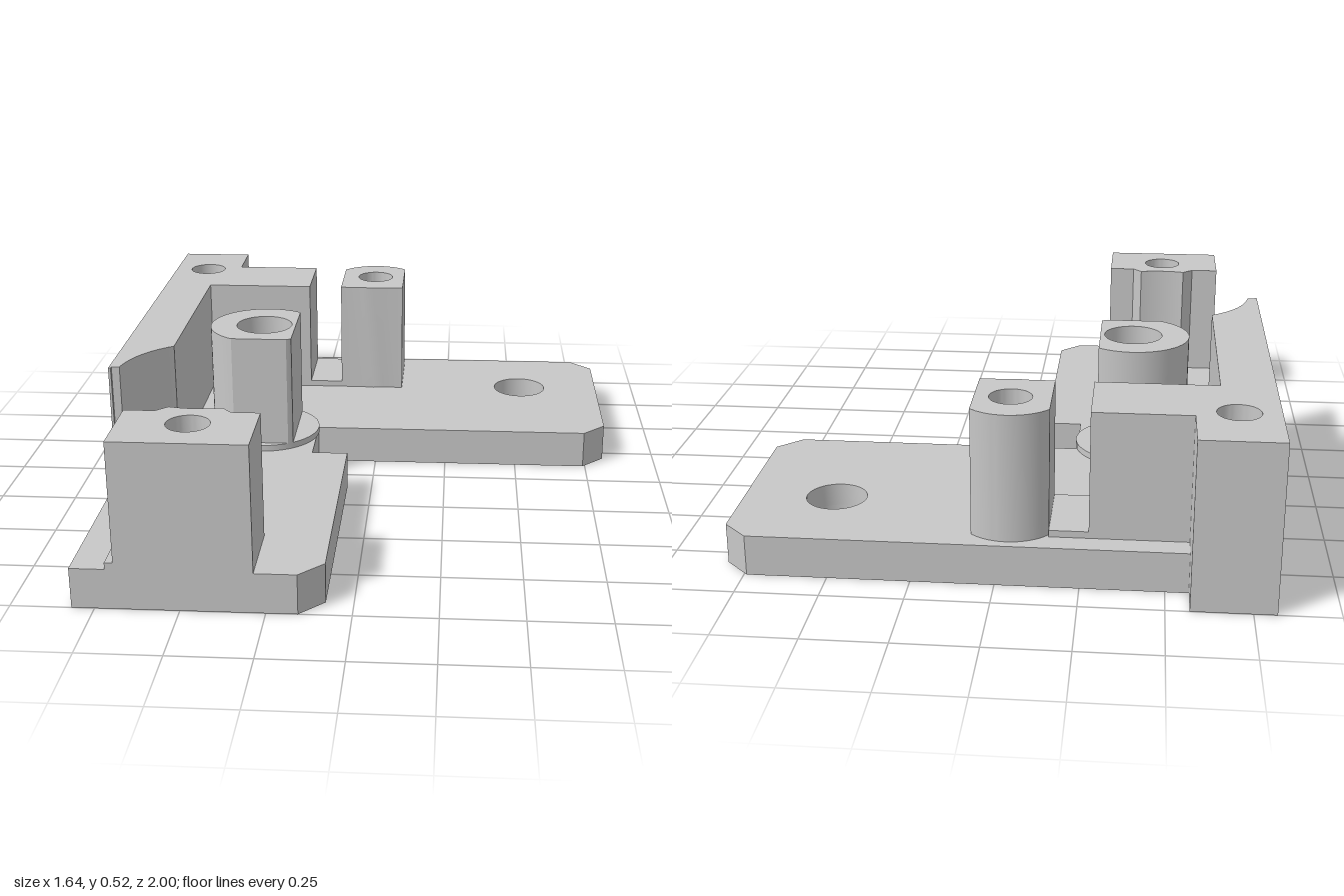
import * as THREE from 'three';
import { toCreasedNormals } from 'three/addons/utils/BufferGeometryUtils.js';

const BIG = 0.095, SMALL = 0.065, BORE = 0.1;
const BORE_TOP = 0.055, PLATE_TOP = 0.127, LEDGE_TOP = 0.148, POST_TOP = 0.524;
// Through holes as [x, z]
const bigHoles = [[0.527, -0.585], [-0.382, -0.08], [-0.48, 0.425]];
const screwHoles = [[-0.695, -0.778], [-0.033, -0.705], [-0.48, 0.85]];

// Points of an arc in plan, angles measured from +x towards +z
function arc(cx, cz, r, a0, a1, n = 20) {
  return Array.from({ length: n + 1 }, (_, i) => {
    const a = a0 + (a1 - a0) * i / n;
    return [cx + r * Math.cos(a), cz + r * Math.sin(a)];
  });
}

// Vertical prism over a plan outline of [x, z], with round holes [x, z, r]
function prism(points, y0, y1, holes = []) {
  const outline = points.map(([x, z]) => new THREE.Vector2(x, -z));
  const shape = new THREE.Shape(outline);
  // Holes wind against the outline so that their walls face inwards
  const clockwise = !THREE.ShapeUtils.isClockWise(outline);
  for (const [x, z, r] of holes) {
    shape.holes.push(new THREE.Path().absarc(x, -z, r, 0, Math.PI * 2, clockwise));
  }
  const geometry = new THREE.ExtrudeGeometry(shape, { depth: y1 - y0, bevelEnabled: false, curveSegments: 24 });
  geometry.rotateX(-Math.PI / 2).translate(0, y0, 0);
  return toCreasedNormals(geometry, Math.PI / 7);
}

const rect = (x0, x1, z0, z1) => [[x0, z0], [x0, z1], [x1, z1], [x1, z0]];
const sized = (list, r) => list.map(([x, z]) => [x, z, r]);

export function createModel() {
  const group = new THREE.Group();
  const grey = new THREE.MeshStandardMaterial({ color: 0xc8c8c8 });
  grey.name = 'grey';
  const add = (name, geometry) => {
    const mesh = new THREE.Mesh(geometry, grey);
    mesh.name = name;
    group.add(mesh);
  };

  // Base plate in two layers, so the screw holes are counterbored from below
  const plate = [
    [-0.818, -1], [-0.57, -1], [-0.57, -0.89], [0.742, -0.89], [0.818, -0.815],
    [0.818, -0.2], [0.742, -0.125], [-0.203, -0.125], [-0.203, 0.105],
    [-0.083, 0.105], [-0.083, 0.925], [-0.157, 1], [-0.818, 1],
  ];
  const big = sized(bigHoles, BIG);
  add('basePlateLower', prism(plate, 0, BORE_TOP, [...big, ...sized(screwHoles, BORE)]));
  add('basePlateUpper', prism(plate, BORE_TOP, PLATE_TOP, [...big, ...sized(screwHoles, SMALL)]));

  // Side wall with its inner arm, hollowed around the round clearance at its end
  const [cx, cz] = bigHoles[2];
  const clearance = arc(cx, cz, 0.307, Math.atan2(0.17 - cz, -0.65 - cx), Math.atan2(0.385 - cz, -0.785 - cx));
  add('sideWall', prism([
    [-0.818, -1], [-0.57, -1], [-0.57, -0.815], [-0.273, -0.815], [-0.273, -0.555],
    [-0.65, -0.555], ...clearance, [-0.81, 0.385], [-0.81, 0.396], [-0.818, 0.396],
  ], PLATE_TOP, POST_TOP, sized([screwHoles[0]], SMALL)));
  add('sideWallLedge', prism(rect(-0.818, -0.787, 0.385, 0.398), PLATE_TOP, LEDGE_TOP));

  // Low web joining the arm to the back post
  add('web', prism(rect(-0.273, -0.155, -0.815, -0.555), PLATE_TOP, LEDGE_TOP));

  // Back post with a rounded rear
  const [bx, bz] = screwHoles[1];
  const r = 0.155;
  add('backPost', prism([
    [-0.155, -0.555], [-0.075, -0.555], [bx, -0.55], [0.005, -0.555], [0.076, -0.555],
    ...arc(bx, bz, r, -Math.acos(0.109 / r), -Math.PI + Math.acos(0.122 / r)),
  ], PLATE_TOP, POST_TOP, [[bx, bz, SMALL]]));

  // Round boss: a full disc below, trimmed flat on two sides above
  const [ox, oz] = bigHoles[1];
  const R = 0.185;
  const hole = [[ox, oz, BIG]];
  add('bossFoot', prism(arc(ox, oz, R, 0, Math.PI * 2, 48).slice(0, -1), PLATE_TOP, LEDGE_TOP, hole));
  const side = Math.acos(0.109 / R), front = Math.asin(0.16 / R);
  add('boss', prism([
    ...arc(ox, oz, R, side, front, 3),
    ...arc(ox, oz, R, Math.PI - front, Math.PI * 2 - side, 32),
  ], LEDGE_TOP, POST_TOP, hole));

  // Front post, its rear bump cut by the round clearance
  const bump = Math.acos(0.08 / 0.307);
  add('frontPost', prism([
    [-0.688, 1], [-0.283, 1], [-0.283, 0.755], [-0.37, 0.755],
    ...arc(cx, cz, 0.307, bump, Math.PI - bump, 8),
    [-0.595, 0.755], [-0.688, 0.755],
  ], PLATE_TOP, POST_TOP, sized([screwHoles[2]], SMALL)));
  add('frontPostLedge', prism(rect(-0.713, -0.688, 0.755, 1), PLATE_TOP, LEDGE_TOP));

  return group;
}
